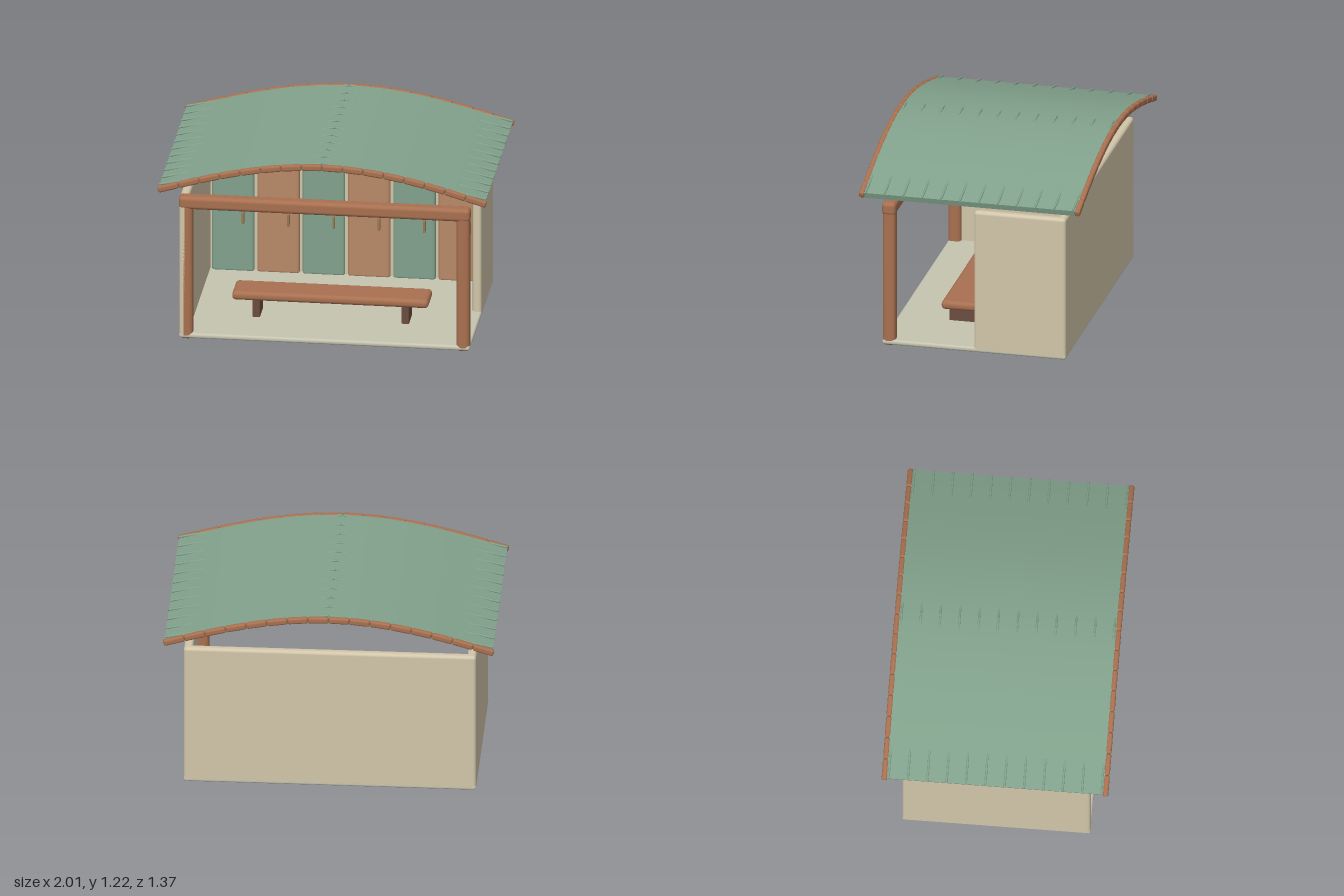
import * as THREE from 'three';
import { RoundedBoxGeometry } from 'three/addons/geometries/RoundedBoxGeometry.js';
import { toCreasedNormals } from 'three/addons/utils/BufferGeometryUtils.js';

const paint = (color) => new THREE.MeshStandardMaterial({ color });

export function createModel() {
  const model = new THREE.Group();
  model.name = 'lockerShelter';
  const cream = paint(0xd2c6aa);
  const stone = paint(0xc6c4b0);
  const green = paint(0x82a28c);
  const wood = paint(0xa87050);
  const lightWood = paint(0xb88a68);
  const darkWood = paint(0x6b4c40);
  const brass = paint(0x9c7a50);

  const add = (parent, name, geometry, material) => {
    const mesh = new THREE.Mesh(geometry, material);
    mesh.name = name;
    parent.add(mesh);
    return mesh;
  };
  // Rounded box given by its limits on each axis
  const box = (parent, name, material, [x0, x1], [y0, y1], [z0, z1], radius) => {
    const mesh = add(parent, name, new RoundedBoxGeometry(x1 - x0, y1 - y0, z1 - z0, 3, radius), material);
    mesh.position.set((x0 + x1) / 2, (y0 + y1) / 2, (z0 + z1) / 2);
    return mesh;
  };

  // Floor and walls: one side wall is full depth, the other half depth
  box(model, 'floor', stone, [-0.885, 0.885], [0.008, 0.04], [-0.57, 0.57], 0.014);
  box(model, 'backWall', cream, [-0.885, 0.885], [0.01, 0.92], [-0.57, -0.515], 0.02);
  box(model, 'rightWall', cream, [-0.885, -0.83], [0.01, 0.92], [-0.57, 0.57], 0.02);
  box(model, 'leftWall', cream, [0.83, 0.885], [0.01, 0.92], [-0.57, 0], 0.02);

  // Front timber frame
  for (const side of [-1, 1]) {
    const x = side * 0.843;
    box(model, 'frontPost', wood, [x - 0.04, x + 0.04], [0, 0.9], [0.49, 0.57], 0.026);
  }
  box(model, 'frontBeam', wood, [-0.887, 0.887], [0.843, 0.925], [0.488, 0.573], 0.024);

  // Row of locker doors with handles
  const lockers = new THREE.Group();
  lockers.name = 'lockers';
  model.add(lockers);
  for (let i = 0; i < 6; i++) {
    const x = (i - 2.5) * 0.276;
    box(lockers, 'lockerDoor', i % 2 ? lightWood : green,
      [x - 0.129, x + 0.129], [0.03, 0.745], [-0.535, -0.49], 0.02);
    box(lockers, 'doorHandle', brass,
      [x + 0.055, x + 0.071], [0.348, 0.427], [-0.495, -0.47], 0.007);
  }

  // Bench
  const bench = new THREE.Group();
  bench.name = 'bench';
  model.add(bench);
  box(bench, 'benchSeat', wood, [-0.6, 0.595], [0.15, 0.205], [0.058, 0.274], 0.024);
  for (const x of [-0.455, 0.452]) {
    box(bench, 'benchLeg', darkWood, [x - 0.023, x + 0.023], [0.005, 0.165], [0.085, 0.25], 0.006);
  }

  // Curved roof sheet
  const roof = new THREE.Group();
  roof.name = 'roof';
  model.add(roof);
  const rise = 0.19;
  const curveY = (x) => 1.007 + rise * Math.cos(x * Math.PI / 2);
  const offset = (x, d) => {
    const slope = -rise * Math.PI / 2 * Math.sin(x * Math.PI / 2);
    const len = Math.hypot(1, slope);
    return new THREE.Vector2(x - d * slope / len, curveY(x) + d / len);
  };
  const upper = [], lower = [];
  for (let i = 0; i <= 48; i++) {
    const x = -0.99 + 1.98 * i / 48;
    upper.push(offset(x, 0.014));
    lower.push(offset(x, -0.022));
  }
  const sheet = new THREE.ExtrudeGeometry(new THREE.Shape([...lower, ...upper.reverse()]),
    { depth: 1.32, bevelEnabled: false });
  sheet.translate(0, 0, -0.66);
  add(roof, 'roofSheet', toCreasedNormals(sheet, 0.5), green);

  // Rod with rounded ends lying between two points
  const rod = (name, material, a, b, radius) => {
    const length = a.distanceTo(b);
    const mesh = add(roof, name,
      new THREE.CapsuleGeometry(radius, length - 2 * radius, 4, 10), material);
    mesh.position.copy(a).lerp(b, 0.5);
    mesh.quaternion.setFromUnitVectors(new THREE.Vector3(0, 1, 0), b.clone().sub(a).normalize());
  };

  // Jointed cane trim along the front and back edges
  for (const z of [-0.67, 0.67]) {
    for (let i = 0; i < 16; i++) {
      const x0 = -1 + i * 0.125, x1 = x0 + 0.125;
      const a = new THREE.Vector3(x0, curveY(x0), z);
      const b = new THREE.Vector3(x1, curveY(x1), z);
      const length = a.distanceTo(b);
      const trim = add(roof, 'edgeTrim', new RoundedBoxGeometry(length, 0.04, 0.034, 3, 0.013), wood);
      trim.position.copy(a).lerp(b, 0.5);
      trim.rotation.z = Math.atan2(b.y - a.y, b.x - a.x);
    }
  }

  // Slim battens breaking through the sheet at the ridge and the eaves
  for (let i = 0; i < 12; i++) {
    const z = (i - 5.5) * 0.1172;
    for (const s of [-1, 1]) {
      rod('ridgeBatten', green, new THREE.Vector3(0, 1.216, z),
        new THREE.Vector3(s * 0.085, 1.202, z), 0.007);
      rod('eaveBatten', green, new THREE.Vector3(s * 0.81, offset(0.81, 0.01).y, z),
        new THREE.Vector3(s * 0.997, offset(0.997, 0.024).y, z), 0.007);
    }
  }
  return model;
}
